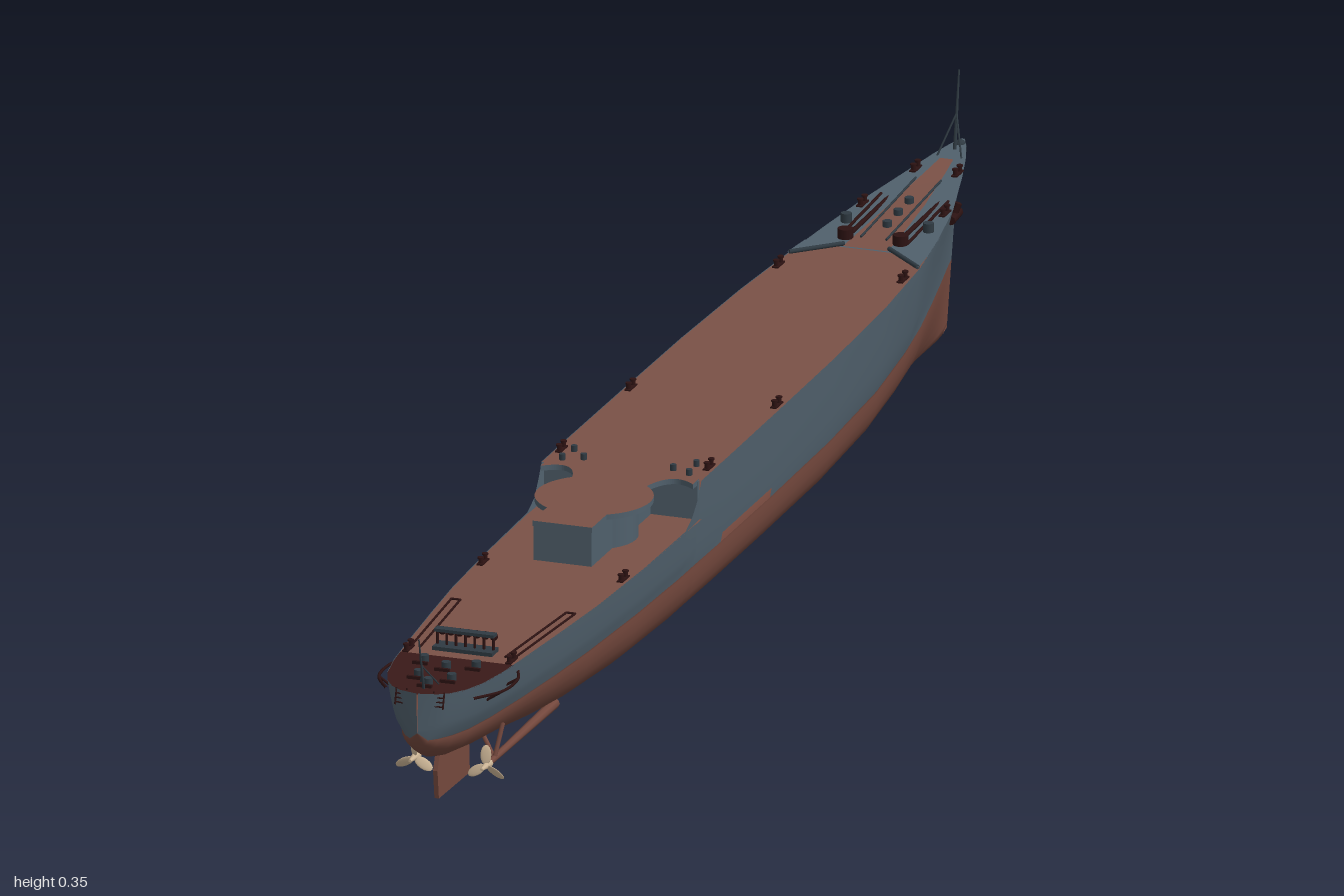
import * as THREE from 'three';

const mat = (name, color, side = THREE.FrontSide) => {
  const m = new THREE.MeshStandardMaterial({ color, side });
  m.name = name;
  return m;
};

// Hull stations: z, deck half width, deck y, waterline half width, keel y, bilge fullness
const STATIONS = [
  [-1, 0.001, 0.248, 0, 0.016, 1.3], [-0.98, 0.011, 0.246, 0.003, 0.012, 1.3],
  [-0.95, 0.022, 0.242, 0.008, 0.01, 1.4], [-0.9, 0.036, 0.236, 0.017, 0.01, 1.5],
  [-0.8, 0.06, 0.227, 0.035, 0.01, 1.7], [-0.7, 0.076, 0.221, 0.053, 0.01, 2],
  [-0.6, 0.088, 0.217, 0.068, 0.01, 2.3], [-0.45, 0.098, 0.216, 0.085, 0.01, 2.7],
  [-0.25, 0.104, 0.216, 0.095, 0.01, 3], [-0.025, 0.106, 0.216, 0.098, 0.01, 3],
  [0.155, 0.107, 0.216, 0.098, 0.01, 3], [0.25, 0.107, 0.216, 0.097, 0.01, 3],
  [0.262, 0.107, 0.196, 0.097, 0.01, 3], [0.28, 0.106, 0.177, 0.097, 0.01, 3],
  [0.305, 0.106, 0.166, 0.097, 0.01, 3], [0.45, 0.104, 0.165, 0.093, 0.011, 2.8],
  [0.6, 0.098, 0.165, 0.085, 0.017, 2.3], [0.7, 0.09, 0.165, 0.077, 0.027, 2],
  [0.8, 0.081, 0.165, 0.066, 0.043, 1.9], [0.88, 0.073, 0.165, 0.055, 0.052, 1.9],
  [0.93, 0.064, 0.165, 0.045, 0.06, 2], [0.96, 0.053, 0.165, 0.034, 0.069, 2],
  [0.98, 0.039, 0.165, 0.022, 0.081, 2], [0.99, 0.025, 0.165, 0.012, 0.093, 2],
  [0.996, 0.001, 0.165, 0, 0.112, 2],
];
const WATERLINE = 0.102;

function station(z) {
  let i = 0;
  while (i < STATIONS.length - 2 && STATIONS[i + 1][0] < z) i++;
  const a = STATIONS[i], b = STATIONS[i + 1], t = (z - a[0]) / (b[0] - a[0]);
  return a.map((v, k) => v + (b[k] - v) * t);
}

// Raked stem: lower points of the bow move aft
function rake(z, y) {
  const blend = Math.max(0, (-z - 0.6) / 0.4) ** 2;
  return z + blend * (y > 0.2 ? (0.248 - y) * 0.55 : 0.026 + (0.2 - y) * 0.2);
}

const LOWER = 8, UPPER = 6, ROWS = LOWER + UPPER;
function hullPoint([z, deck, top, wl, keel, p], row) {
  let x, y;
  const base = Math.max(WATERLINE, keel);
  if (row < LOWER) {
    const f = 1 - Math.sin((row / LOWER) * Math.PI / 2) ** 1.5;
    y = base + (keel - base) * f;
    x = wl * Math.pow(Math.max(0, 1 - Math.pow(f, p)), 0.7);
  } else {
    const r = row - LOWER, low = Math.max(base, 0.115);
    y = r === 0 ? base : low + (top - low) * (r - 1) / (UPPER - 1);
    const g = (y - base) / (top - base);
    x = wl + (deck - wl) * Math.pow(g, z < -0.6 ? 1.25 : 0.6);
  }
  return [x, y, rake(z, y)];
}

function surface(positions, index) {
  const g = new THREE.BufferGeometry();
  g.setAttribute('position', new THREE.Float32BufferAttribute(positions, 3));
  g.setIndex(index);
  g.computeVertexNormals();
  return g;
}

function hullGeometry() {
  const pos = [], red = [], grey = [], ring = 2 * ROWS + 1;
  STATIONS.forEach((s, i) => {
    for (let m = -ROWS; m <= ROWS; m++) {
      const [x, y, z] = hullPoint(s, Math.abs(m));
      pos.push(Math.sign(m) * x, y, z);
      if (m === ROWS || i === STATIONS.length - 1) continue;
      const band = m >= 0 ? m : -m - 1;
      // long openings just above the waterline
      if (band === LOWER && s[0] > -0.03 && s[0] < 0.15) continue;
      const a = i * ring + m + ROWS, b = a + ring;
      (band < LOWER ? red : grey).push(a, a + 1, b, b, a + 1, b + 1);
    }
  });
  const g = surface(pos, [...red, ...grey]);
  g.addGroup(0, red.length, 0);
  g.addGroup(red.length, grey.length, 1);
  return g;
}

// Deck strip between two z positions
function deckGeometry(z0, z1, level, width = 1) {
  const zs = [z0, ...STATIONS.map(s => s[0]).filter(z => z > z0 && z < z1), z1];
  const pos = [], idx = [];
  zs.forEach((z, i) => {
    const s = station(z), y = level ?? s[2] - 0.001, x = s[1] * width;
    pos.push(-x, y, rake(z, y), x, y, rake(z, y));
    if (i) { const a = 2 * i - 2; idx.push(a, a + 2, a + 1, a + 1, a + 2, a + 3); }
  });
  return surface(pos, idx);
}

export function createModel() {
  const ship = new THREE.Group();
  ship.name = 'ship';
  const grey = mat('hullGrey', 0x50606c, THREE.DoubleSide);
  const red = mat('antifoulingRed', 0x74483d, THREE.DoubleSide);
  const brown = mat('deckBrown', 0x7a5146, THREE.DoubleSide);
  const dark = mat('darkFittings', 0x2c1212);
  const steel = mat('darkSteel', 0x2f3a42);
  const bronze = mat('bronze', 0xcdb697);

  const add = (name, geo, m, x = 0, y = 0, z = 0) => {
    const mesh = new THREE.Mesh(geo, m);
    mesh.name = name;
    mesh.position.set(x, y, z);
    ship.add(mesh);
    return mesh;
  };
  const box = (name, w, h, d, m, x, y, z) => add(name, new THREE.BoxGeometry(w, h, d), m, x, y, z);
  const post = (name, r, h, m, x, y, z) => add(name, new THREE.CylinderGeometry(r, r, h, 10), m, x, y + h / 2, z);
  const bar = (name, a, b, r, m, r2 = r) => {
    const p = new THREE.Vector3(...a), q = new THREE.Vector3(...b), d = q.clone().sub(p);
    const mesh = add(name, new THREE.CylinderGeometry(r2, r, d.length(), 8), m);
    mesh.position.copy(p).add(q).multiplyScalar(0.5);
    mesh.quaternion.setFromUnitVectors(new THREE.Vector3(0, 1, 0), d.normalize());
    return mesh;
  };

  add('hull', hullGeometry(), [red, grey]);
  add('upperDeck', deckGeometry(-0.64, 0.25), brown);
  add('foredeck', deckGeometry(-1, -0.64), grey);
  add('aftDeck', deckGeometry(0.25, 0.85, 0.164), brown);
  add('sternDeck', deckGeometry(0.85, 0.996, 0.164), mat('sternDeckRed', 0x3a1a18, THREE.DoubleSide));

  // Deck break: bulkhead, round gun platform and deckhouse
  box('bulkhead', 0.206, 0.051, 0.006, grey, 0, 0.19, 0.25);
  const s = new THREE.Shape();
  s.moveTo(-0.102, -0.245);
  s.lineTo(-0.102, -0.268);
  s.quadraticCurveTo(-0.065, -0.235, -0.05, -0.294);
  s.absarc(0, -0.35, 0.075, 2.3, Math.PI + 1.008, false);
  s.lineTo(-0.04, -0.467);
  s.lineTo(0.04, -0.467);
  s.absarc(0, -0.35, 0.075, -1.008, 0.842, false);
  s.quadraticCurveTo(0.065, -0.235, 0.102, -0.268);
  s.lineTo(0.102, -0.245);
  const platform = new THREE.ExtrudeGeometry(s, { depth: 0.007, bevelEnabled: false, curveSegments: 24 });
  platform.rotateX(-Math.PI / 2);
  add('gunPlatform', platform, [brown, grey], 0, 0.2095, 0);
  add('barbette', new THREE.CylinderGeometry(0.056, 0.056, 0.046, 32), grey, 0, 0.187, 0.35);
  box('deckhouse', 0.078, 0.046, 0.11, grey, 0, 0.187, 0.411);
  box('deckhouseTrunk', 0.08, 0.046, 0.08, grey, 0, 0.187, 0.285);

  // Foredeck planking strip and breakwater
  add('foredeckStrip', deckGeometry(-0.94, -0.64, undefined, 0.36), brown).position.y = 0.0015;
  for (const x of [-1, 1]) {
    const corner = new THREE.Shape([[0.03, 0.645], [0.083, 0.645], [0.088, 0.595]].map(p => new THREE.Vector2(x * p[0], p[1])));
    add('foredeckCorner', new THREE.ShapeGeometry(corner).rotateX(-Math.PI / 2), grey, 0, 0.2195, 0);
    bar('breakwater', [x * 0.03, 0.221, -0.645], [x * 0.086, 0.219, -0.597], 0.003, steel);

    // Anchor gear
    bar('anchorChain', [x * 0.034, 0.2255, -0.86], [x * 0.034, 0.223, -0.665], 0.003, dark);
    bar('anchorChain', [x * 0.045, 0.228, -0.82], [x * 0.045, 0.221, -0.67], 0.002, dark);
    bar('foredeckRail', [x * 0.017, 0.236, -0.87], [x * 0.017, 0.223, -0.67], 0.0015, steel);
    post('windlass', 0.01, 0.013, dark, x * 0.037, 0.22, -0.668);
    post('mooringReel', 0.007, 0.012, steel, x * 0.055, 0.222, -0.72);
    bar('anchorShank', [x * 0.045, 0.214, -0.857], [x * 0.037, 0.19, -0.852], 0.005, dark);
    bar('anchorFlukes', [x * 0.04, 0.197, -0.872], [x * 0.043, 0.197, -0.835], 0.006, dark);

    // Bollard pairs along the deck edge
    for (const z of [-0.9, -0.78, -0.55, -0.05, 0.2, 0.5, 0.84]) {
      const st = station(z), bx = x * (st[1] - 0.008);
      box('bollardBase', 0.008, 0.002, 0.026, dark, bx, st[2] + 0.001, z);
      for (const dz of [-0.008, 0.008]) {
        post('bollard', 0.003, 0.009, dark, bx, st[2], z + dz);
        post('bollardCap', 0.0042, 0.002, dark, bx, st[2] + 0.008, z + dz);
      }
    }
    for (const [vx, z] of [[0.082, 0.2], [0.06, 0.225], [0.085, 0.235]])
      post('deckVent', 0.004, 0.008, steel, x * vx, 0.216, z);

    // Mine rails, stern guards and ladders
    for (const dx of [0, 0.012])
      bar('sternRail', [x * (0.083 - dx), 0.166, 0.645], [x * (0.069 - dx), 0.166, 0.83], 0.0015, dark);
    bar('railEnd', [x * 0.071, 0.166, 0.645], [x * 0.083, 0.166, 0.645], 0.0015, dark);
    const guard = new THREE.CatmullRomCurve3([[0.074, 0.83], [0.085, 0.86], [0.083, 0.91], [0.058, 0.95]]
      .map(p => new THREE.Vector3(x * p[0], 0.15, p[1])));
    add('propellerGuard', new THREE.TubeGeometry(guard, 16, 0.002, 6), dark);
    for (const [gx, z] of [[0.085, 0.86], [0.083, 0.91]])
      bar('guardBrace', [x * gx, 0.15, z], [x * 0.062, 0.136, z], 0.0017, dark);
    for (const dx of [0.018, 0.032])
      bar('ladderRail', [x * dx, 0.166, 0.984], [x * dx, 0.145, 0.99], 0.0012, dark);
    for (const y of [0.148, 0.154, 0.16])
      bar('ladderRung', [x * 0.018, y, 0.99], [x * 0.032, y, 0.988], 0.001, dark);

    // Shaft, strut and three-bladed propeller
    bar('propellerShaft', [x * 0.046, 0.034, 0.62], [x * 0.048, 0.035, 0.87], 0.007, red, 0.004);
    bar('shaftStrut', [x * 0.048, 0.035, 0.845], [x * 0.025, 0.064, 0.83], 0.003, red);
    bar('shaftStrut', [x * 0.048, 0.035, 0.845], [x * 0.054, 0.078, 0.83], 0.003, red);
    bar('propellerHub', [x * 0.048, 0.035, 0.865], [x * 0.048, 0.035, 0.892], 0.006, bronze, 0.002);
    for (let k = 0; k < 3; k++) {
      const blade = new THREE.SphereGeometry(1, 12, 8).scale(0.007, 0.0135, 0.0015);
      blade.rotateY(0.5 * x).translate(0, 0.0145, 0).rotateZ(k * Math.PI * 2 / 3);
      add('propellerBlade', blade, bronze, x * 0.048, 0.035, 0.876);
    }
  }

  // Rudder
  const r = new THREE.Shape([[0.925, 0.002], [0.93, 0.04], [0.92, 0.066], [0.85, 0.06], [0.815, 0.05], [0.812, 0.004], [0.82, 0]]
    .map(p => new THREE.Vector2(-p[0], p[1])));
  add('rudder', new THREE.ExtrudeGeometry(r, { depth: 0.006, bevelEnabled: false }).rotateY(Math.PI / 2), red, -0.003);

  // Stern equipment: gantry, depth-charge racks and winches
  box('gantry', 0.08, 0.004, 0.012, steel, 0, 0.189, 0.82);
  box('winchBed', 0.08, 0.005, 0.025, steel, 0, 0.167, 0.82);
  for (let i = -3; i <= 3; i++) {
    post('gantryPost', 0.0018, 0.025, dark, i * 0.0125, 0.164, 0.82);
    const drum = new THREE.SphereGeometry(0.0055, 8, 6);
    add('drum', drum, dark, i * 0.0115, 0.184, 0.81);
  }
  for (const [x, z] of [[-0.035, 0.875], [0.035, 0.875], [0, 0.89], [-0.022, 0.93], [0.022, 0.93], [0, 0.955]]) {
    post('capstan', 0.006, 0.009, steel, x, 0.164, z);
    box('fairlead', 0.02, 0.004, 0.004, dark, x, 0.167, z + 0.015);
  }

  // Foredeck midline fittings and flagstaffs
  for (const z of [-0.72, -0.76, -0.8]) post('hatch', 0.006, 0.008, steel, 0, station(z)[2], z);
  bar('bowStaff', [0, 0.244, -0.966], [0, 0.345, -0.982], 0.0025, steel, 0.0012);
  for (const x of [-1, 1]) bar('bowStaffStay', [x * 0.017, 0.238, -0.945], [0, 0.29, -0.973], 0.0013, steel);
  bar('sternStaff', [0, 0.164, 0.972], [0, 0.235, 0.99], 0.002, steel, 0.001);
  for (const x of [-1, 1]) bar('sternStaffStay', [x * 0.012, 0.164, 0.95], [0, 0.197, 0.98], 0.001, steel);
  add('bowChock', new THREE.SphereGeometry(0.007, 12, 8), steel, 0, 0.244, -0.986);
  return ship;
}
